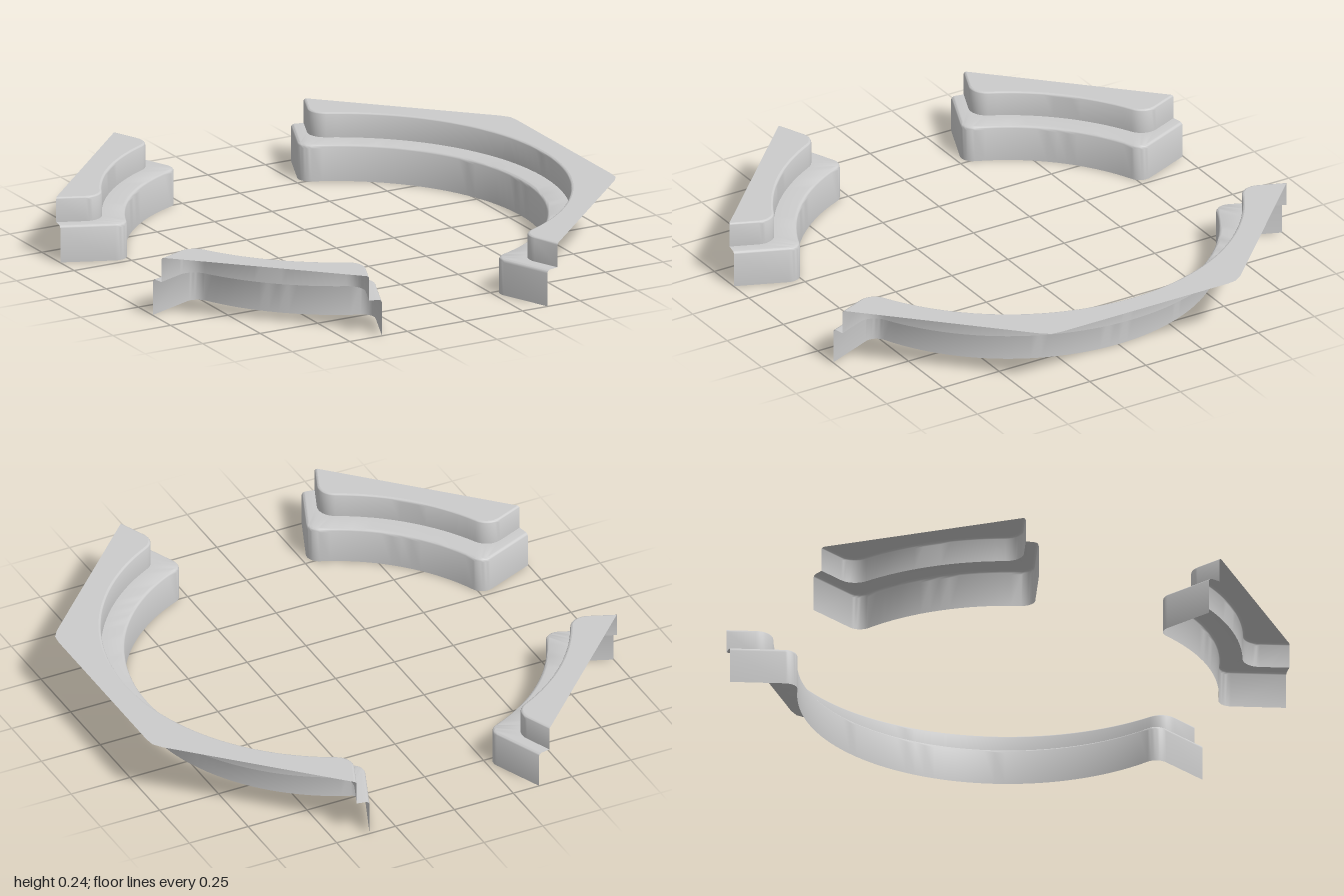
import * as THREE from 'three';
import { toCreasedNormals } from 'three/addons/utils/BufferGeometryUtils.js';

const OCT = Math.PI / 8;
const material = new THREE.MeshStandardMaterial({ color: 0xcccccc, side: THREE.DoubleSide });

// Plan outline of one level: end wall, rounded corner, inner arc, corner, end wall.
// r: arc radius, d: how far the end wall lies past the radial line, f: corner radius
function outline(r, d, f, half) {
  const u = new THREE.Vector2(Math.cos(half), Math.sin(half));
  const n = new THREE.Vector2(-u.y, u.x);
  const at = (s, o) => u.clone().multiplyScalar(s).addScaledVector(n, o);
  const c = at(Math.sqrt((r + f) ** 2 - (d - f) ** 2), d - f);
  const from = c.angle() + Math.PI, to = n.angle();
  const side = [];
  for (let i = 0; i <= 8; i++) {
    const a = from + (to - from) * i / 8;
    side.push(new THREE.Vector2(c.x + f * Math.cos(a), c.y + f * Math.sin(a)));
  }
  side.push(at(1.07 - 0.2 * Math.abs(d), d));
  const arc = [], reach = c.angle(), steps = Math.round(half / OCT) * 16;
  for (let i = 1; i < steps; i++) {
    const a = reach * (2 * i / steps - 1);
    arc.push(new THREE.Vector2(r * Math.cos(a), r * Math.sin(a)));
  }
  const mirrored = side.map(p => new THREE.Vector2(p.x, -p.y)).reverse();
  return [...mirrored, ...arc, ...side];
}

// Skin joining a stack of levels
function skin(rows, half) {
  const pos = [], index = [];
  let n = 0;
  rows.forEach(([r, d, f, y], j) => {
    const pts = outline(r, d, f, half);
    n = pts.length;
    pts.forEach(p => pos.push(p.x, y, p.y));
    if (j === 0) return;
    for (let i = 0; i < n - 1; i++) {
      const a = (j - 1) * n + i, b = a + n;
      index.push(a, a + 1, b, a + 1, b + 1, b);
    }
  });
  const g = new THREE.BufferGeometry();
  g.setAttribute('position', new THREE.Float32BufferAttribute(pos, 3));
  g.setIndex(index);
  return toCreasedNormals(g, 0.7);
}

// Wall with a rounded top edge
function wallRows(r, d, f, y0, y1, e) {
  const rows = [[r, d, f, y0]];
  for (let i = 0; i <= 4; i++) {
    const a = i / 4 * Math.PI / 2, k = e * (1 - Math.cos(a));
    rows.push([r + k, d - k, f - k, y1 - e + e * Math.sin(a)]);
  }
  return rows;
}

function addMesh(group, name, geometry) {
  const mesh = new THREE.Mesh(geometry, material);
  mesh.name = name;
  group.add(mesh);
}

// One stepped bench, centred on the local +x direction
function bench(name, half, backCorners, turn) {
  const g = new THREE.Group();
  g.name = name;
  const lower = wallRows(0.8, 0.05, 0.05, 0, 0.145, 0.014);
  const upper = wallRows(0.89, 0, 0.07, 0.145, 0.243, 0.01);
  addMesh(g, 'lowerStep', skin([...lower, upper[0]], half));
  addMesh(g, 'upperStep', skin(upper, half));

  // Flat top reaching out to the straight octagonal back edge
  const [r, d, f, y] = upper[upper.length - 1];
  const back = backCorners.map(([x, z]) => new THREE.Vector2(x, z));
  const pts = [...outline(r, d, f, half), ...back];
  const top = new THREE.ShapeGeometry(new THREE.Shape(pts.map(p => new THREE.Vector2(p.x, -p.y))));
  top.rotateX(-Math.PI / 2).translate(0, y, 0);
  addMesh(g, 'topDeck', top);
  g.rotation.y = turn;
  return g;
}

export function createModel() {
  const model = new THREE.Group();
  model.name = 'curvedBenchSet';
  // Long bench spans three octants, the short ones a single octant each
  const corners = [[0.96, 0.445], [0.985, 0.41], [0.99, 0.37], [0.99, -0.37], [0.985, -0.41], [0.96, -0.445]];
  model.add(bench('longBench', 3 * OCT, corners, 0));
  model.add(bench('shortBenchFront', OCT, [], -6 * OCT));
  model.add(bench('shortBenchBack', OCT, [], 6 * OCT));
  return model;
}
